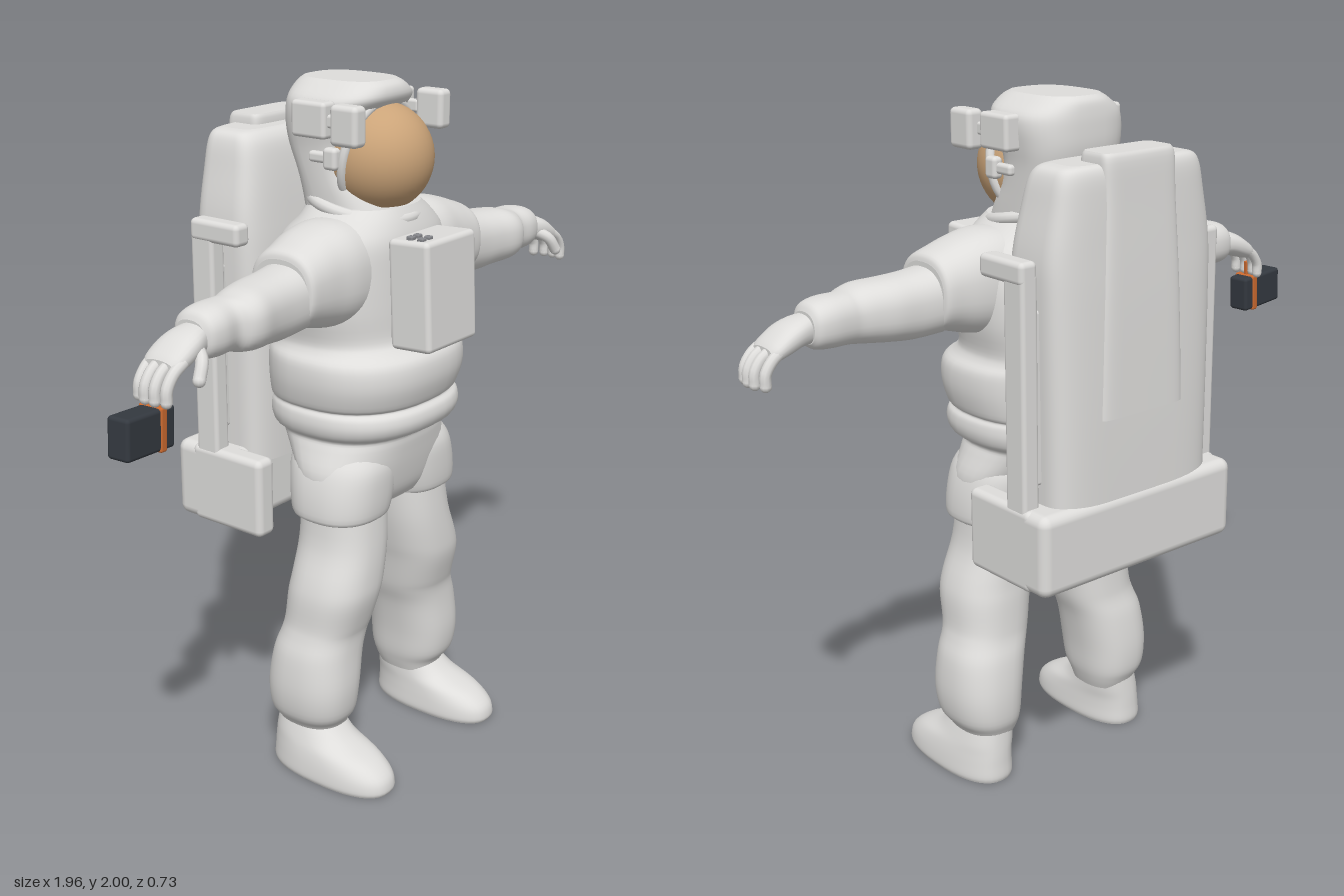
import * as THREE from 'three';
import { RoundedBoxGeometry } from 'three/addons/geometries/RoundedBoxGeometry.js';

const material = (name, color) => {
  const m = new THREE.MeshStandardMaterial({ color });
  m.name = name;
  return m;
};

// Smooth skin through sections [t, u0, u1, z0, z1]; t runs along y (u = x) or along x (u = y).
function loft(rows, axis = 'y', power = 2.4, steps = 4, seg = 40) {
  const fine = [];
  for (let i = 0; i < rows.length - 1; i++) {
    const a = rows[Math.max(i - 1, 0)], b = rows[i], c = rows[i + 1];
    const d = rows[Math.min(i + 2, rows.length - 1)];
    for (let k = 0; k < steps; k++) {
      const t = k / steps;
      fine.push(b.map((v, n) => 0.5 * (2 * v + (c[n] - a[n]) * t
        + (2 * a[n] - 5 * v + 4 * c[n] - d[n]) * t * t + (3 * v - a[n] - 3 * c[n] + d[n]) * t * t * t)));
    }
  }
  fine.push(rows[rows.length - 1]);
  const shrink = ([t, a, b, c, d]) => [t, (a + b) / 2, (a + b) / 2, (c + d) / 2, (c + d) / 2];
  const first = fine[0], last = fine[fine.length - 1];
  const rings = [shrink(first), first, ...fine, last, shrink(last)]; // closed ends with a crisp edge
  const bend = v => Math.sign(v) * Math.abs(v) ** (2 / power);
  const pos = [], index = [];
  for (const [t, u0, u1, z0, z1] of rings) {
    for (let j = 0; j < seg; j++) {
      const ang = j / seg * Math.PI * 2;
      const u = (u0 + u1) / 2 + (u1 - u0) / 2 * bend(Math.cos(ang));
      const z = (z0 + z1) / 2 + (z1 - z0) / 2 * bend(Math.sin(ang));
      if (axis === 'y') pos.push(u, t, z); else pos.push(t, u, z);
    }
  }
  const flip = (axis === 'x') !== (last[0] < first[0]);
  for (let i = 0; i < rings.length - 1; i++) {
    for (let j = 0; j < seg; j++) {
      const a = i * seg + j, b = i * seg + (j + 1) % seg, c = a + seg, d = b + seg;
      if (flip) index.push(a, b, c, b, d, c); else index.push(a, c, b, b, c, d);
    }
  }
  const g = new THREE.BufferGeometry();
  g.setAttribute('position', new THREE.Float32BufferAttribute(pos, 3));
  g.setIndex(index);
  g.computeVertexNormals();
  return g;
}

export function createModel() {
  const suit = material('suit white', 0xdedddb);
  const gold = material('visor gold', 0xcba479);
  const dark = material('case charcoal', 0x343940);
  const orange = material('strap orange', 0xcb6a30);
  const grey = material('control grey', 0x85868a);

  const model = new THREE.Group();
  model.name = 'astronaut';
  const body = new THREE.Group();
  body.name = 'body';
  body.position.x = 0.055;
  model.add(body);

  const add = (name, geo, mat = suit, parent = body) => {
    const m = new THREE.Mesh(geo, mat);
    m.name = name;
    parent.add(m);
    return m;
  };
  // Rounded box from its limits
  const box = (name, x0, x1, y0, y1, z0, z1, r = 0.015, mat = suit, parent = body) => {
    const m = add(name, new RoundedBoxGeometry(x1 - x0, y1 - y0, z1 - z0, 3, r), mat, parent);
    m.position.set((x0 + x1) / 2, (y0 + y1) / 2, (z0 + z1) / 2);
    return m;
  };
  const even = rows => rows.map(([y, w, z0, z1]) => [y, -w, w, z0, z1]);

  // Torso with waist folds
  add('torso', loft(even([
    [0.82, 0.2, 0, 0.2], [0.86, 0.26, -0.03, 0.22], [0.93, 0.275, -0.06, 0.235], [1.0, 0.25, -0.12, 0.245],
    [1.03, 0.24, -0.15, 0.25], [1.05, 0.265, -0.17, 0.29], [1.08, 0.275, -0.18, 0.305], [1.11, 0.272, -0.18, 0.3],
    [1.125, 0.262, -0.18, 0.284], [1.14, 0.275, -0.18, 0.296], [1.2, 0.288, -0.18, 0.312], [1.26, 0.285, -0.18, 0.305],
    [1.29, 0.262, -0.18, 0.27], [1.32, 0.255, -0.18, 0.25], [1.4, 0.27, -0.18, 0.245], [1.5, 0.27, -0.17, 0.24],
    [1.58, 0.25, -0.14, 0.235], [1.63, 0.2, -0.1, 0.22], [1.67, 0.15, -0.09, 0.2],
  ])));

  // Helmet, visor and collar
  add('helmet', loft(even([
    [1.63, 0.145, -0.09, 0.19], [1.7, 0.148, -0.1, 0.15], [1.76, 0.15, -0.115, 0.11], [1.82, 0.153, -0.14, 0.1],
    [1.87, 0.16, -0.15, 0.11], [1.92, 0.165, -0.15, 0.13], [1.955, 0.158, -0.147, 0.155],
    [1.985, 0.12, -0.14, 0.15], [2.0, 0.095, -0.125, 0.13],
  ]), 'y', 2.8));
  const visor = add('visor', new THREE.SphereGeometry(0.15, 40, 28), gold);
  visor.position.set(0, 1.793, 0.105);
  const rim = add('visorRim', new THREE.TorusGeometry(0.149, 0.014, 10, 48));
  rim.position.set(0, 1.8, 0.095);
  rim.rotation.x = 0.2;
  const collar = add('collar', new THREE.TorusGeometry(0.15, 0.018, 10, 48));
  collar.position.set(0, 1.665, 0.055);
  collar.rotation.x = Math.PI / 2 + 0.2;

  // Chest control unit
  const panel = box('chestPanel', -0.115, 0.115, 1.3, 1.605, 0.225, 0.358, 0.015);
  panel.rotation.x = -0.05;
  for (let i = 0; i < 2; i++) {
    box('panelSwitch', -0.1 + i * 0.03, -0.08 + i * 0.03, 1.595, 1.615, 0.27, 0.29, 0.004, grey);
    box('panelKnob', -0.1 + i * 0.03, -0.08 + i * 0.03, 1.595, 1.615, 0.305, 0.325, 0.004, grey);
  }

  // Life support backpack
  add('backpack', loft(even([
    [0.92, 0.285, -0.355, -0.1], [1.2, 0.287, -0.355, -0.1], [1.5, 0.29, -0.35, -0.105], [1.63, 0.287, -0.345, -0.115],
    [1.75, 0.265, -0.34, -0.13], [1.82, 0.25, -0.335, -0.145], [1.85, 0.232, -0.325, -0.165], [1.858, 0.2, -0.31, -0.185],
  ]), 'y', 5, 4, 56));
  add('backpackSpine', loft(even([
    [1.19, 0.15, -0.366, -0.25], [1.5, 0.14, -0.36, -0.24], [1.75, 0.127, -0.35, -0.23],
    [1.86, 0.125, -0.345, -0.228], [1.885, 0.118, -0.335, -0.235],
  ]), 'y', 7, 4, 56));
  box('backpackBase', -0.355, 0.355, 0.73, 0.965, -0.362, -0.14, 0.03);

  for (const s of [1, -1]) {
    const side = new THREE.Group();
    side.name = s > 0 ? 'leftSide' : 'rightSide';
    body.add(side);
    const span = (name, x0, x1, ...rest) => {
      const [a, b] = s > 0 ? [x0, x1] : [-x1, -x0];
      return box(name, a, b, ...rest, suit, side);
    };
    const alongX = rows => rows.map(([x, ...r]) => [x * s, ...r]);
    const alongY = rows => rows.map(([y, a, b, ...r]) => (s > 0 ? [y, a, b, ...r] : [y, -b, -a, ...r]));

    // Backpack wing, post and armrest
    span('baseWing', 0.285, 0.355, 0.73, 0.965, -0.3, -0.04, 0.02);
    span('backpackPost', 0.298, 0.352, 0.94, 1.6, -0.28, -0.2, 0.012);
    span('armrest', 0.298, 0.355, 1.57, 1.632, -0.28, -0.105, 0.015);
    span('postBracket', 0.25, 0.32, 1.02, 1.5, -0.27, -0.21, 0.01);

    // Helmet lamps and hinge
    span('lamp', 0.165, 0.218, 1.85, 1.958, 0.1, 0.19, 0.015);
    span('lampHousing', 0.15, 0.205, 1.86, 1.957, -0.04, 0.075, 0.012);
    span('lampBracket', 0.165, 0.19, 1.89, 1.925, 0.06, 0.11, 0.008);
    span('visorHinge', 0.145, 0.178, 1.775, 1.835, 0.045, 0.09, 0.012);
    span('hingeBar', 0.145, 0.17, 1.79, 1.82, -0.01, 0.06, 0.01);

    // Shoulder and arm
    add('shoulder', loft(alongX([
      [0.08, 1.36, 1.64, -0.06, 0.2], [0.2, 1.36, 1.65, -0.06, 0.21], [0.28, 1.37, 1.637, -0.05, 0.2],
      [0.34, 1.385, 1.617, -0.035, 0.195], [0.385, 1.395, 1.6, -0.025, 0.19], [0.395, 1.41, 1.58, -0.01, 0.175],
    ]), 'x'), suit, side);
    add('arm', loft(alongX([
      [0.37, 1.385, 1.57, -0.01, 0.18], [0.45, 1.38, 1.56, 0, 0.18], [0.52, 1.385, 1.555, 0.005, 0.188],
      [0.58, 1.39, 1.55, 0.02, 0.2], [0.62, 1.395, 1.54, 0.03, 0.193], [0.65, 1.4, 1.537, 0.03, 0.17],
      [0.7, 1.4, 1.535, 0.028, 0.175], [0.74, 1.405, 1.525, 0.035, 0.168], [0.755, 1.42, 1.505, 0.05, 0.15],
    ]), 'x'), suit, side);

    // Gloved hand
    add('palm', loft(alongX([
      [0.74, 1.42, 1.5, 0.06, 0.15], [0.78, 1.418, 1.493, 0.05, 0.165], [0.82, 1.405, 1.478, 0.045, 0.17],
      [0.86, 1.395, 1.45, 0.047, 0.167], [0.875, 1.4, 1.435, 0.06, 0.155],
    ]), 'x', 2.4, 3, 24), suit, side);
    const digit = (name, pts, r) => {
      const curve = new THREE.CatmullRomCurve3(pts.map(([x, y, z]) => new THREE.Vector3(x * s, y, z)));
      add(name, new THREE.TubeGeometry(curve, 10, r, 10), suit, side);
      add(name + 'Tip', new THREE.SphereGeometry(r, 10, 8), suit, side).position.copy(curve.getPoint(1));
    };
    [0.062, 0.094, 0.126, 0.157].forEach((z, i) => {
      const reach = [-0.012, 0, 0, -0.008][i];
      digit('finger', [[0.84, 1.43, z], [0.885 + reach, 1.408, z], [0.908 + reach, 1.375, z], [0.91 + reach, 1.345, z]], 0.0155);
    });
    digit('thumb', [[0.765, 1.45, 0.13], [0.795, 1.425, 0.175], [0.82, 1.385, 0.188]], 0.017);

    // Leg, hip cuff and boot
    add('hipCuff', loft(alongY([
      [0.795, 0.035, 0.275, -0.02, 0.215], [0.81, 0.025, 0.29, -0.035, 0.23],
      [0.88, 0.005, 0.285, -0.05, 0.235], [0.95, 0, 0.265, -0.06, 0.23], [1.0, 0.02, 0.23, -0.05, 0.2],
    ])), suit, side);
    add('leg', loft(alongY([
      [0.13, 0.165, 0.315, -0.03, 0.16], [0.16, 0.155, 0.33, -0.045, 0.17], [0.2, 0.145, 0.355, -0.06, 0.195],
      [0.28, 0.135, 0.365, -0.062, 0.205], [0.38, 0.115, 0.355, -0.05, 0.2], [0.44, 0.095, 0.335, -0.035, 0.2],
      [0.48, 0.085, 0.325, -0.03, 0.21], [0.56, 0.07, 0.32, -0.025, 0.23], [0.62, 0.055, 0.305, -0.02, 0.232],
      [0.72, 0.035, 0.27, -0.02, 0.225], [0.85, 0.02, 0.26, -0.02, 0.21],
    ])), suit, side);
    add('boot', loft(alongY([
      [0, 0.168, 0.353, -0.048, 0.355], [0.015, 0.163, 0.358, -0.052, 0.36], [0.05, 0.165, 0.355, -0.05, 0.348],
      [0.085, 0.168, 0.348, -0.048, 0.3], [0.12, 0.17, 0.337, -0.045, 0.21], [0.17, 0.172, 0.32, -0.04, 0.15],
    ])), suit, side);
  }

  // Hand-held case with a strap band
  const handCase = new THREE.Group();
  handCase.name = 'handCase';
  handCase.position.set(-0.893, 1.277, 0.115);
  handCase.rotation.set(0, 0.08, -0.06);
  model.add(handCase);
  box('caseBody', -0.087, 0.087, -0.054, 0.054, -0.034, 0.034, 0.01, dark, handCase);
  box('caseBand', 0.03, 0.054, -0.057, 0.057, -0.037, 0.037, 0.006, orange, handCase);
  box('caseStrap', 0.036, 0.048, 0.05, 0.1, -0.006, 0.006, 0.003, orange, handCase);
  return model;
}
